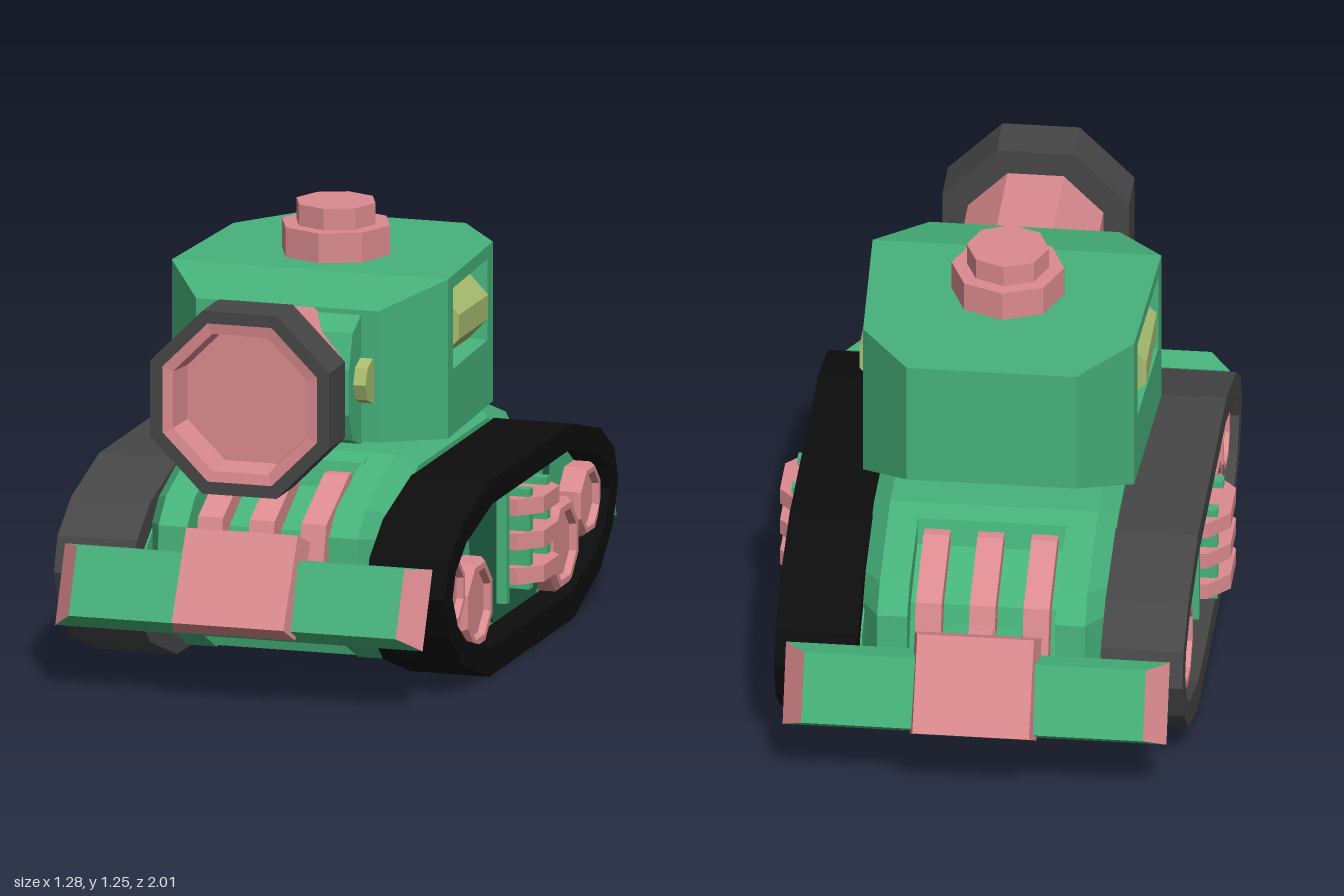
import * as THREE from 'three';

const mat = (name, color) => {
  const m = new THREE.MeshStandardMaterial({ color });
  m.name = name;
  return m;
};

export function createModel() {
  const green = mat('green', 0x46b27b), darkGreen = mat('dark green', 0x22664a);
  const pink = mat('pink', 0xdb8b8f), yellow = mat('yellow', 0xa8bd70);
  const grey = mat('grey rubber', 0x464646), black = mat('black rubber', 0x0d0d0d);
  const tank = new THREE.Group();
  tank.name = 'tank';

  // ---------- helpers ----------
  const add = (parent, name, geo, material) => {
    const m = new THREE.Mesh(geo, material);
    m.name = name;
    parent.add(m);
    return m;
  };
  const flat = (g) => {
    const f = g.index ? g.toNonIndexed() : g;
    f.computeVertexNormals();
    return f;
  };
  const box = (x0, x1, y0, y1, z0, z1) =>
    new THREE.BoxGeometry(x1 - x0, y1 - y0, z1 - z0).translate((x0 + x1) / 2, (y0 + y1) / 2, (z0 + z1) / 2);
  // closed profile from its front half, points are [z, y] from top to bottom
  const sym = (half) => [...half, ...half.slice().reverse().map(([z, y]) => [-z, y])];
  // side profile of [z, y] points extruded from x0 to x1
  const sideExtrude = (pts, x0, x1, hole) => {
    const v = (p) => p.map(([z, y]) => new THREE.Vector2(-z, y));
    const shape = new THREE.Shape(v(pts));
    if (hole) shape.holes.push(new THREE.Path(v(hole)));
    return new THREE.ExtrudeGeometry(shape, { depth: x1 - x0, bevelEnabled: false })
      .rotateY(Math.PI / 2).translate(x0, 0, 0);
  };
  // flat-shaded solid from counter-clockwise convex polygons
  const solid = (faces) => {
    const pos = [];
    for (const f of faces)
      for (let i = 1; i < f.length - 1; i++) pos.push(...f[0], ...f[i], ...f[i + 1]);
    const g = new THREE.BufferGeometry();
    g.setAttribute('position', new THREE.Float32BufferAttribute(pos, 3));
    g.computeVertexNormals();
    return g;
  };
  const flip = ([x, y, z]) => [-x, y, z];
  const mirror = (faces) => faces.map((f) => f.map(flip).reverse());
  const bridge = (a, b) => a.map((p, i) => {
    const j = (i + 1) % a.length;
    return [p, a[j], b[j], b[i]];
  });
  // eight-sided turned part, points are [radius, height]
  const turned = (pts) => flat(new THREE.LatheGeometry(
    pts.map(([r, h]) => new THREE.Vector2(r, h)), 8, Math.PI / 8));

  // ---------- hull ----------
  add(tank, 'hullCore', sideExtrude(sym([[0.37, 0.62], [0.43, 0.603], [0.45, 0.53], [0.62, 0.44],
    [0.66, 0.31], [0.56, 0.15], [0.45, 0.12], [0.43, 0.045]]), -0.22, 0.22), green);
  const hullProfile = sym([[0.37, 0.62], [0.65, 0.52], [0.72, 0.45], [0.73, 0.3], [0.6, 0.12], [0.45, 0.045]]);
  const ring = (x, k) => hullProfile.map(([z, y]) => [x, 0.33 + (y - 0.33) * k, z * k]);
  const rings = [ring(0.21, 1), ring(0.295, 1), ring(0.347, 0.86)];
  const fin = [...bridge(rings[0], rings[1]), ...bridge(rings[1], rings[2]), rings[2], rings[0].slice().reverse()];
  add(tank, 'hullSideLeft', solid(fin), green);
  add(tank, 'hullSideRight', solid(mirror(fin)), green);

  // ---------- ribs and bumpers at both ends ----------
  const rib = [[0.4, 0.575], [0.47, 0.575], [0.68, 0.475], [0.725, 0.31], [0.62, 0.14], [0.48, 0.09], [0.4, 0.09]];
  const tapered = (w, h, d, wFront, hFront) => {
    const g = new THREE.BoxGeometry(w, h, d), p = g.attributes.position;
    for (let i = 0; i < p.count; i++)
      if (p.getZ(i) > 0) p.setXY(i, p.getX(i) * wFront, p.getY(i) * hFront);
    g.computeVertexNormals();
    return g;
  };
  for (const [name, turn] of [['front', 0], ['rear', Math.PI]]) {
    const end = new THREE.Group();
    end.name = name + 'End';
    end.rotation.y = turn;
    for (const x of [-0.153, 0, 0.153]) add(end, 'rib', sideExtrude(rib, x - 0.037, x + 0.037), pink);
    add(end, 'bumperSupport', box(-0.11, 0.11, 0.28, 0.38, 0.6, 0.88), green);
    add(end, 'bumperSupportRib', box(-0.035, 0.035, 0.3, 0.42, 0.65, 0.86), pink);
    const bar = add(end, 'bumperBar', tapered(1.09, 0.235, 0.075, 0.89, 0.86),
      [pink, pink, green, green, green, green]);
    bar.position.set(0, 0.305, 0.885);
    bar.rotation.x = -0.4;
    const plate = add(end, 'bumperPlate', tapered(0.36, 0.29, 0.08, 0.92, 0.97), pink);
    plate.position.set(0, 0.342, 0.9);
    plate.rotation.x = -0.5;
    tank.add(end);
  }

  // ---------- track units ----------
  const trackOuter = sym([[0.38, 0.565], [0.64, 0.495], [0.765, 0.41], [0.8, 0.31], [0.75, 0.19], [0.64, 0.09], [0.39, 0]]);
  const trackInner = sym([[0.36, 0.495], [0.6, 0.435], [0.7, 0.37], [0.728, 0.3], [0.68, 0.21], [0.6, 0.15], [0.37, 0.08]]);
  const barShape = new THREE.Shape([[0.5, 0.135], [0.58, 0.135], [0.64, 0.07], [0.64, -0.07], [0.58, -0.135], [0.5, -0.135]]
    .map(([x, z]) => new THREE.Vector2(x, -z)));
  for (const [name, turn, rubber] of [['left', 0, black], ['right', Math.PI, grey]]) {
    const unit = new THREE.Group();
    unit.name = name + 'TrackUnit';
    unit.rotation.y = turn;
    add(unit, 'track', sideExtrude(trackOuter, 0.345, 0.58, trackInner), rubber);
    add(unit, 'innerWall', sideExtrude(trackInner, 0.34, 0.49), green);
    // wheels with a dished face
    for (const [z, y, r] of [[0.625, 0.29, 0.108], [0.395, 0.21, 0.137], [-0.395, 0.21, 0.137], [-0.625, 0.29, 0.108]]) {
      const wheel = add(unit, 'wheel', turned([[r, 0], [r, 0.055], [r * 0.9, 0.07], [r * 0.76, 0.07], [r * 0.72, 0.05], [0, 0.05]]), pink);
      wheel.rotation.z = -Math.PI / 2;
      wheel.position.set(0.485, y, z);
    }
    // vent between the wheels
    add(unit, 'ventPanel', sideExtrude(sym([[0.33, 0.49], [0.25, 0.16], [0.19, 0.11]]), 0.45, 0.53), darkGreen);
    for (const s of [-1, 1]) {
      add(unit, 'ventFrame', box(0.5, 0.56, 0.16, 0.485, s * 0.155 - 0.012, s * 0.155 + 0.012), green);
      add(unit, 'ventPost', box(0.5, 0.605, 0.19, 0.48, s * 0.08 - 0.017, s * 0.08 + 0.017), green);
    }
    for (const y of [0.21, 0.31, 0.41])
      add(unit, 'ventBar', new THREE.ExtrudeGeometry(barShape, { depth: 0.048, bevelEnabled: false })
        .rotateX(-Math.PI / 2).translate(0, y, 0), pink);
    tank.add(unit);
  }

  // ---------- turret ----------
  const neck = add(tank, 'turretNeck', turned([[0.24, 0.6], [0.24, 0.68]]), green);
  neck.name = 'turretNeck';
  // plan corners on the left side: x, z, bottom y, top y
  const plan = [[0.27, 0.45, 0.67, 1.05], [0.41, 0.24, 0.645, 1.107], [0.385, -0.25, 0.645, 1.107], [0.24, -0.45, 0.74, 1.107]];
  const b = plan.map(([x, z, y]) => [x, y, z]), t = plan.map(([x, z, , y]) => [x, y, z]);
  const wallX = (z) => 0.385 + 0.025 * (z + 0.25) / 0.49;
  const opening = [[0.185, 0.835], [-0.19, 0.835], [-0.19, 1.07], [0.185, 1.07]].map(([z, y]) => [wallX(z), y, z]);
  const pocket = opening.map(([, y, z]) => [0.3, 0.95 + (y - 0.95) * 0.85, z * 0.75]);
  const wall = [b[1], b[2], t[2], t[1]];
  const side = [
    [b[0], b[1], t[1], t[0]], [b[2], b[3], t[3], t[2]],
    ...bridge(wall, opening), ...bridge(opening, pocket), pocket,
  ];
  const middle = [[flip(b[0]), b[0], t[0], flip(t[0])], [b[3], flip(b[3]), flip(t[3]), t[3]]];
  for (let i = 0; i < 3; i++) {
    middle.push([flip(t[i]), t[i], t[i + 1], flip(t[i + 1])]);
    middle.push([flip(b[i + 1]), b[i + 1], b[i], flip(b[i])]);
  }
  add(tank, 'turretBody', solid([...side, ...mirror(side), ...middle]), green);

  // bulging side windows
  const bulge = new THREE.Shape([[0.29, 0.85], [0.35, 0.85], [0.408, 0.91], [0.408, 0.98], [0.35, 1.04], [0.29, 1.04]]
    .map(([x, y]) => new THREE.Vector2(x, y)));
  for (const [name, turn] of [['Left', 0], ['Right', Math.PI]]) {
    const w = add(tank, 'window' + name, new THREE.ExtrudeGeometry(bulge, { depth: 0.27, bevelEnabled: false })
      .translate(0, 0, -0.135), yellow);
    w.rotation.y = turn;
  }

  // stepped hatch
  add(tank, 'hatchBase', flat(new THREE.CylinderGeometry(0.16, 0.16, 0.09, 8)), pink).position.y = 1.148;
  add(tank, 'hatchCap', flat(new THREE.CylinderGeometry(0.117, 0.117, 0.07, 8)), pink).position.y = 1.22;

  // ---------- gun ----------
  add(tank, 'mantlet', sideExtrude([[0.42, 1.04], [0.46, 1.035], [0.53, 1], [0.565, 0.9], [0.565, 0.77],
    [0.53, 0.69], [0.46, 0.665], [0.42, 0.665]], -0.22, 0.22), green);
  for (const s of [-1, 1]) {
    const bolt = add(tank, 'mantletBolt', flat(new THREE.CylinderGeometry(0.065, 0.065, 0.05, 8)), yellow);
    bolt.rotation.z = Math.PI / 2;
    bolt.position.set(s * 0.232, 0.85, 0.462);
  }
  const gun = new THREE.Group();
  gun.name = 'gun';
  gun.position.y = 0.857;
  gun.rotation.x = Math.PI / 2;
  add(gun, 'barrel', turned([[0.208, 0.45], [0.208, 0.75]]), pink);
  add(gun, 'muzzleRing', turned([[0, 0.74], [0.287, 0.74], [0.287, 0.89], [0.248, 0.89]]), grey);
  add(gun, 'muzzleBore', turned([[0.248, 0.89], [0.215, 0.885], [0.205, 0.78], [0, 0.78]]), pink);
  tank.add(gun);

  return tank;
}
